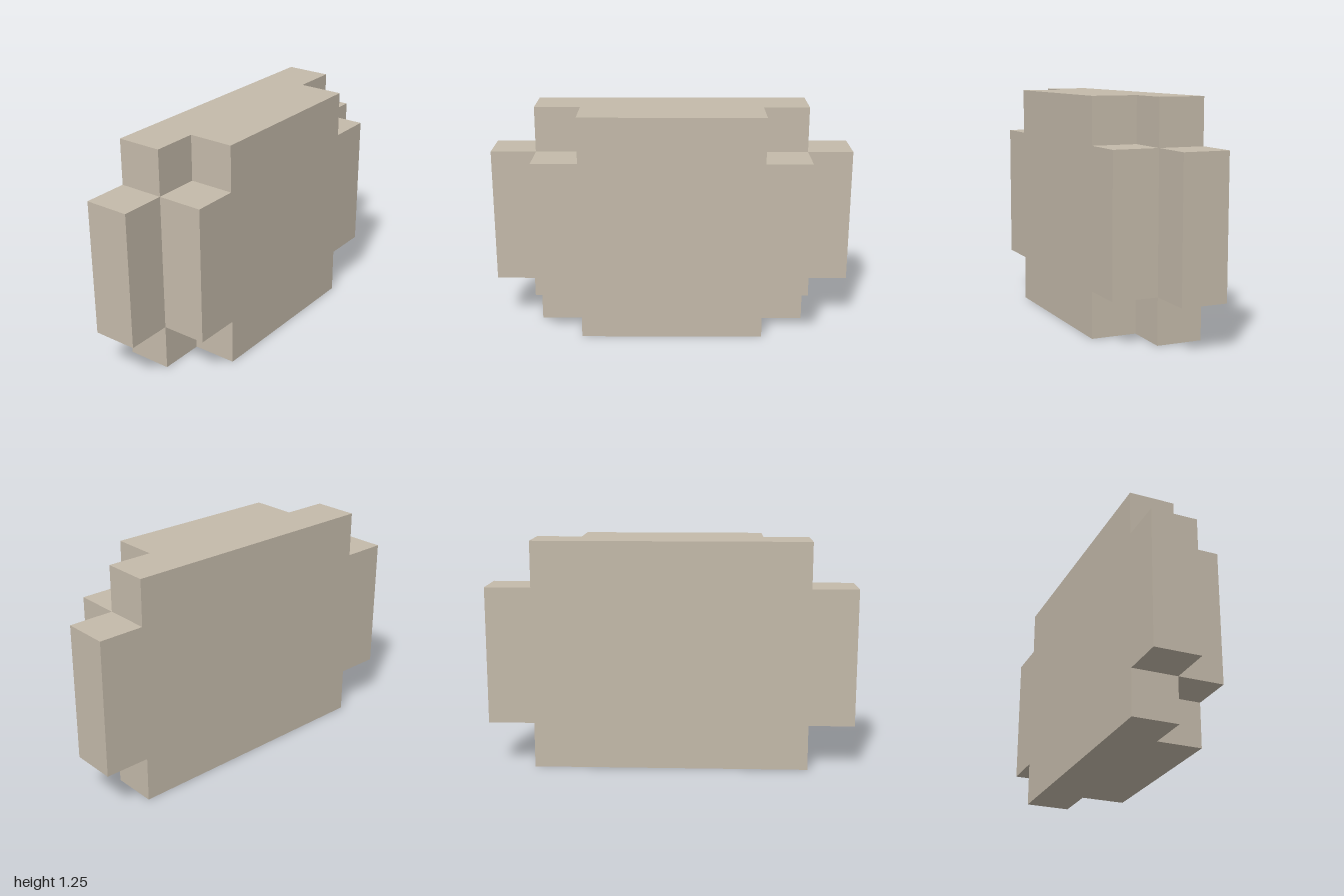
import * as THREE from 'three';

export function createModel() {
  const group = new THREE.Group();
  group.name = 'steppedBlock';
  const stone = new THREE.MeshStandardMaterial({ color: 0xc4baaa });
  stone.name = 'stone';

  const height = 1.25, step = 0.25, thickness = 0.25;

  // Slab standing in the z-y plane, with a square notch cut from each corner
  function notchedSlab(name, halfLength, x) {
    const inner = halfLength - step;
    const outline = [
      [-inner, 0], [inner, 0], [inner, step], [halfLength, step],
      [halfLength, height - step], [inner, height - step], [inner, height],
      [-inner, height], [-inner, height - step], [-halfLength, height - step],
      [-halfLength, step], [-inner, step],
    ].map(([z, y]) => new THREE.Vector2(z, y));
    const geometry = new THREE.ExtrudeGeometry(new THREE.Shape(outline), {
      depth: thickness, bevelEnabled: false,
    });
    geometry.translate(0, 0, -thickness / 2).rotateY(-Math.PI / 2);
    const mesh = new THREE.Mesh(geometry, stone);
    mesh.name = name;
    mesh.position.x = x;
    group.add(mesh);
  }

  // Long slab on the right, shorter slab on the left
  notchedSlab('longSlab', 1, -thickness / 2);
  notchedSlab('shortSlab', 0.75, thickness / 2);

  return group;
}
